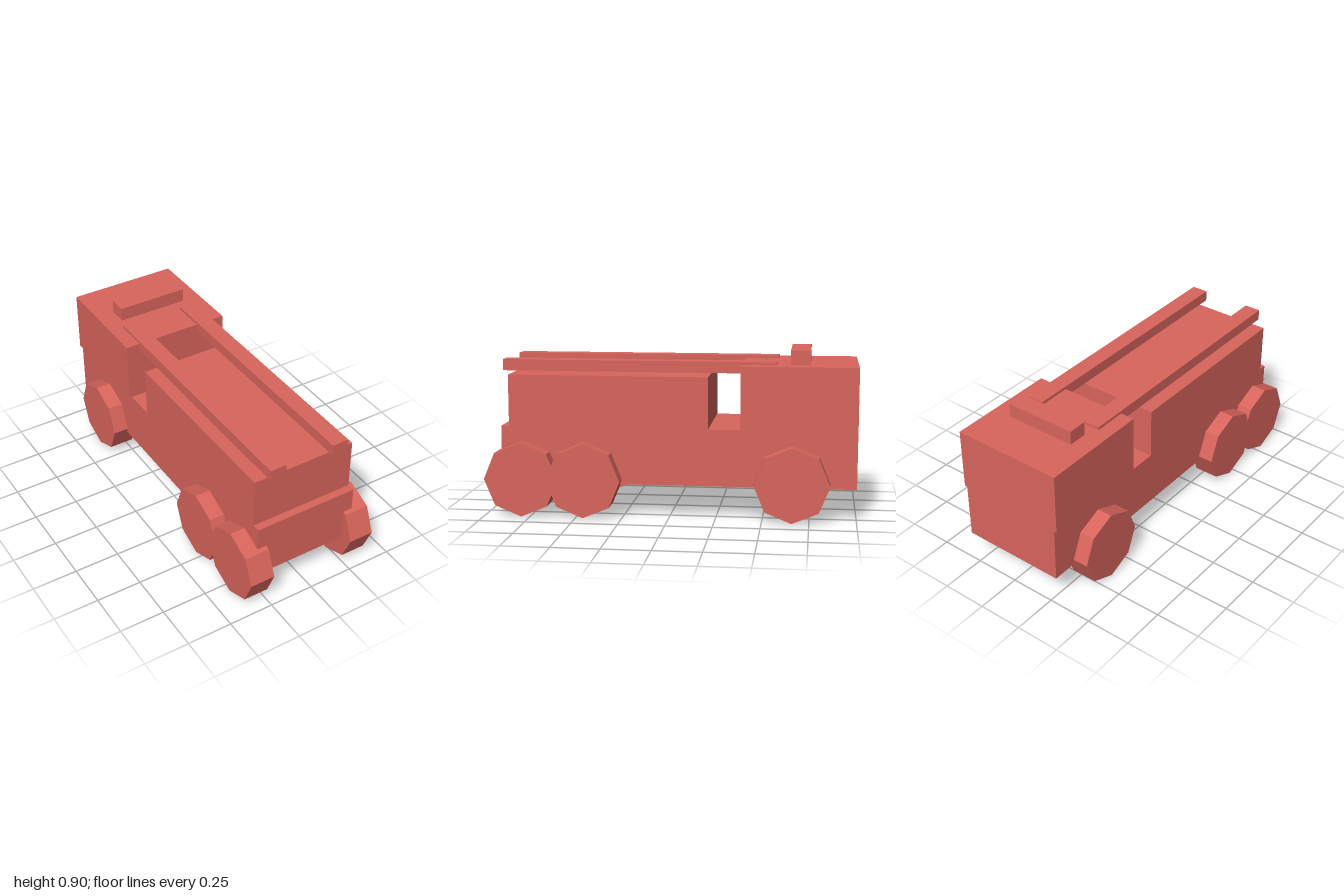
import * as THREE from 'three';

const paint = new THREE.MeshStandardMaterial({ color: 0xd9655c, flatShading: true });

export function createModel() {
  const truck = new THREE.Group();
  truck.name = 'fireTruck';

  // Box given by its extents on each axis
  const box = (name, [x0, x1], [y0, y1], [z0, z1]) => {
    const mesh = new THREE.Mesh(new THREE.BoxGeometry(x1 - x0, y1 - y0, z1 - z0), paint);
    mesh.position.set((x0 + x1) / 2, (y0 + y1) / 2, (z0 + z1) / 2);
    mesh.name = name;
    truck.add(mesh);
  };

  // Body
  box('chassis', [-0.294, 0.294], [0.174, 0.482], [-1, 0.92]);
  box('cab', [-0.31, 0.31], [0.482, 0.823], [-1, -0.38]);
  box('rearBody', [-0.294, 0.294], [0.482, 0.762], [-0.207, 0.877]);
  box('lightBar', [-0.201, 0.201], [0.823, 0.9], [-0.745, -0.639]);

  // Eight-sided wheels, axles along x
  const radius = 0.202;
  const wheelGeometry = new THREE.CylinderGeometry(radius, radius, 0.139, 8).rotateZ(Math.PI / 2);
  const axles = { front: -0.658, middle: 0.46, rear: 0.798 };

  // Mirrored parts
  for (const [side, s] of [['Left', 1], ['Right', -1]]) {
    box('ladderRail' + side, s > 0 ? [0.139, 0.231] : [-0.231, -0.139], [0.778, 0.839], [-0.566, 0.92]);
    for (const [axle, z] of Object.entries(axles)) {
      const wheel = new THREE.Mesh(wheelGeometry, paint);
      wheel.position.set(s * 0.31, radius, z);
      wheel.name = axle + 'Wheel' + side;
      truck.add(wheel);
    }
  }
  return truck;
}
